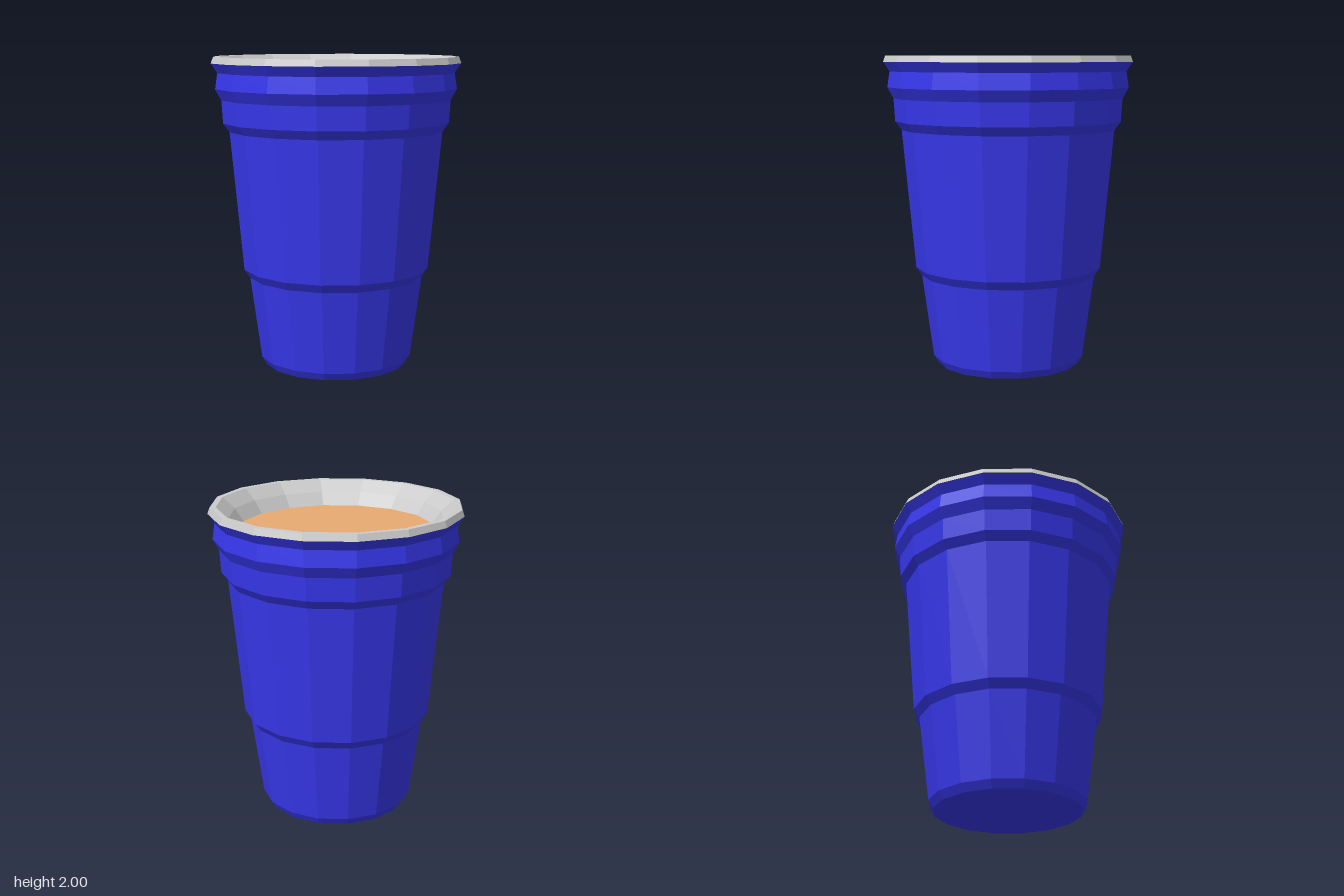
import * as THREE from 'three';

const SIDES = 16;

function material(color) {
  return new THREE.MeshStandardMaterial({ color, flatShading: true });
}

// Revolve a [radius, height] profile into a faceted shell
function lathe(name, profile, mat) {
  const points = profile.map(([r, y]) => new THREE.Vector2(r, y));
  const mesh = new THREE.Mesh(new THREE.LatheGeometry(points, SIDES), mat);
  mesh.name = name;
  return mesh;
}

export function createModel() {
  const group = new THREE.Group();
  group.name = 'cup';

  // Outer wall: closed base, stepped taper and flared collar
  group.add(lathe('cupBody', [
    [0, 0], [0.465, 0], [0.495, 0.05],
    [0.568, 0.585], [0.605, 0.64],
    [0.688, 1.53], [0.728, 1.585],
    [0.737, 1.73], [0.775, 1.8],
    [0.76, 1.9], [0.798, 1.96],
  ], material(0x3737ec)));

  // Rolled lip and the inside wall down to the drink
  group.add(lathe('rimAndLining', [
    [0.8, 1.96], [0.785, 2], [0.748, 2], [0.67, 1.93], [0.612, 1.85],
  ], material(0xcccccc)));

  // Drink surface
  const drink = new THREE.Mesh(
    new THREE.CircleGeometry(0.612, SIDES).rotateX(-Math.PI / 2),
    material(0xe8aa72),
  );
  drink.name = 'drink';
  drink.position.y = 1.85;
  group.add(drink);

  return group;
}
